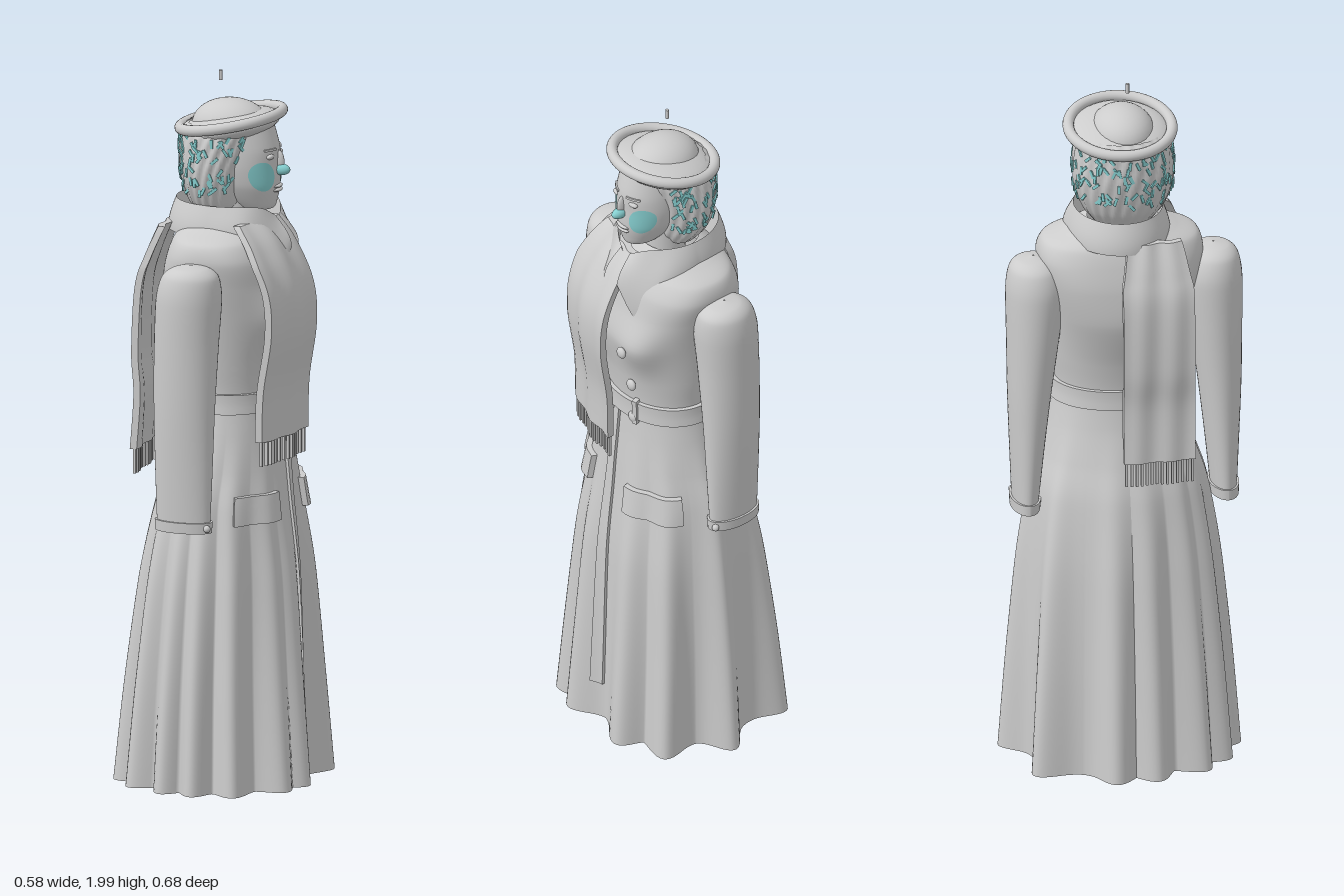
import * as THREE from 'three';
import { ParametricGeometry } from 'three/addons/geometries/ParametricGeometry.js';

const { DoubleSide } = THREE;
const cloth = new THREE.MeshStandardMaterial({ color: 0xcccccc, side: DoubleSide });
cloth.name = 'pale grey';
const tint = new THREE.MeshStandardMaterial({ color: 0x86cfd0, side: DoubleSide });
tint.name = 'soft teal';

// Surface through oval sections [y, centreX, centreZ, radiusX, radiusZ, fold], listed top to bottom
function loft(rows, shape) {
  const a = new THREE.CatmullRomCurve3(rows.map(r => new THREE.Vector3(r[0], r[1], r[2])), false, 'catmullrom', 0.4);
  const b = new THREE.CatmullRomCurve3(rows.map(r => new THREE.Vector3(r[3], r[4], r[5] || 0)), false, 'catmullrom', 0.4);
  const at = (th, v, off, out) => {
    const p = a.getPoint(v), r = b.getPoint(v);
    const k = shape ? shape(th, p.x, r.z) : 1;
    return out.set(p.y + Math.cos(th) * (r.x * k + off), p.x, p.z + Math.sin(th) * (r.y * k + off));
  };
  const atY = (th, y, off = 0, out = new THREE.Vector3()) => {
    let lo = 0, hi = 1;
    for (let i = 0; i < 22; i++) {
      const m = (lo + hi) / 2;
      if (a.getPoint(m).x > y) lo = m; else hi = m;
    }
    return at(th, lo, off, out);
  };
  const geometry = (nu, nv) => new ParametricGeometry((u, v, out) => at(Math.PI * (2 * u - 1), v, 0, out), nu, nv);
  return { atY, geometry };
}

// Move every vertex of a geometry by a rule
function warp(geo, rule) {
  const p = geo.attributes.position, q = new THREE.Vector3();
  for (let i = 0; i < p.count; i++) {
    q.fromBufferAttribute(p, i);
    rule(q);
    p.setXYZ(i, q.x, q.y, q.z);
  }
  geo.computeVertexNormals();
  return geo;
}

// Thin plate that follows a lofted surface
function plate(surface, th0, th1, y0, y1, off, nu = 12, nv = 3) {
  const { lerp } = THREE.MathUtils;
  return warp(new THREE.BoxGeometry(1, 1, 1, nu, nv, 1), q =>
    surface.atY(lerp(th1, th0, q.x + 0.5), lerp(y0, y1, q.y + 0.5), q.z > 0 ? off : -0.004, q));
}

const gauss = (x, w) => Math.exp(-((x / w) ** 2));
const wrap = a => Math.atan2(Math.sin(a), Math.cos(a));
const FOLDS = [-84, -129, -170, 170, 144, 126, 104, 86, 63, 33, 17, -20, -46].map(THREE.MathUtils.degToRad);

export function createModel() {
  const model = new THREE.Group();
  const add = (name, geo, mat = cloth, pos = [0, 0, 0], scale = [1, 1, 1], parent = model) => {
    const m = new THREE.Mesh(geo, mat);
    m.name = name;
    m.position.set(...pos);
    m.scale.set(...scale);
    parent.add(m);
    return m;
  };
  const ball = new THREE.SphereGeometry(1, 32, 20);

  // Coat: square-shouldered bodice with bust, and a full skirt falling into folds
  const coat = loft([
    [1.6, 0.015, 0, 0.08, 0.085], [1.57, 0.015, 0.003, 0.11, 0.16], [1.545, 0.018, 0.005, 0.132, 0.215],
    [1.5, 0.022, 0.005, 0.152, 0.23], [1.43, 0.022, 0.005, 0.168, 0.218], [1.33, 0.03, 0.003, 0.18, 0.2],
    [1.2, 0.035, 0, 0.15, 0.183], [1.1, 0.037, 0, 0.137, 0.172], [1.0, 0.034, 0, 0.148, 0.19, 0.03],
    [0.9, 0.026, 0, 0.17, 0.218, 0.15], [0.8, 0.016, 0, 0.195, 0.25, 0.3], [0.6, 0.01, 0, 0.234, 0.283, 0.55],
    [0.3, 0.003, 0, 0.268, 0.313, 0.8], [0.015, 0, 0, 0.295, 0.335, 1],
  ], (th, y, fold) => {
    let ridge = 0;
    for (const f of FOLDS) ridge = Math.max(ridge, gauss(wrap(th - f), 0.18));
    const bust = 0.12 * gauss(y - 1.33, 0.08) * gauss(Math.abs(th) - 0.5, 0.3);
    const square = Math.sin(2 * th) ** 2 * (0.09 * gauss(y - 1.47, 0.13) + 0.045 * fold);
    return 1 - 0.22 * Math.max(fold, 0) * (1 - ridge) + bust + square;
  });
  add('coat', coat.geometry(220, 90));
  add('belt', plate(coat, -Math.PI, Math.PI, 1.065, 1.12, 0.012, 80));
  add('beltLoop', plate(coat, -0.42, -0.34, 1.055, 1.13, 0.02, 2));
  add('frontPlacket', plate(coat, 0, 0.12, 0.13, 1.06, 0.008, 4, 30));
  add('leftPocketFlap', plate(coat, 0.42, 1.08, 0.765, 0.842, 0.016));
  add('rightPocketFlap', plate(coat, -1.02, -0.25, 0.765, 0.845, 0.016));
  for (const y of [1.32, 1.185, 1.07]) {
    const p = coat.atY(-0.33, y, 0.012);
    add('coatButton', ball, cloth, p.toArray(), [0.01, 0.017, 0.017]);
  }

  // Sleeves with rounded shoulder caps, cuff bands and buttons
  for (const s of [1, -1]) {
    const sleeve = loft([
      [1.503, 0, 0.252, 0.002, 0.002], [1.494, 0, 0.252, 0.05, 0.046],
      [1.47, -0.002, 0.25, 0.079, 0.07], [1.41, -0.007, 0.248, 0.092, 0.082],
      [1.28, -0.012, 0.255, 0.091, 0.074], [1.1, -0.014, 0.266, 0.087, 0.06],
      [0.92, -0.013, 0.273, 0.082, 0.046], [0.757, -0.012, 0.278, 0.076, 0.034],
    ].map(([y, x, z, rx, rz]) => [y, x, s * z + 0.012, rx, rz]));
    const g = new THREE.Group();
    g.name = s > 0 ? 'nearSleeve' : 'farSleeve';
    model.add(g);
    add('sleeve', sleeve.geometry(40, 40), cloth, [0, 0, 0], [1, 1, 1], g);
    add('cuff', plate(sleeve, -Math.PI, Math.PI, 0.757, 0.787, 0.006, 40), cloth, [0, 0, 0], [1, 1, 1], g);
    add('cuffButton', ball, cloth, sleeve.atY(s * 0.5, 0.772, 0.01).toArray(), [0.01, 0.01, 0.01], g);
  }

  // Turned-down collar with long points, open at the front
  const collar = (name, inner) => add(name, new ParametricGeometry((u, v, out) => {
    const th = 0.16 + u * (2 * Math.PI - 0.32), w = Math.abs(wrap(th));
    const top = 1.637 - 0.04 * gauss(w, 0.45);
    const low = inner ? 1.5 : 1.55 - 0.13 * gauss(w - 0.55, 0.33);
    const y = THREE.MathUtils.lerp(top, low, v);
    const front = 0.03 * Math.max(0, Math.cos(th));
    const flare = inner ? -0.02 * v : (0.022 + front) * Math.sin(v * 1.6);
    out.set(0.014 + Math.cos(th) * (0.146 + flare), y, Math.sin(th) * (0.122 + flare));
  }, 64, 10));
  collar('collarFall', false);
  collar('collarStand', true);

  // Scarf ends: ribbons bent along a path and curved around the body, with fringe
  const scarf = (name, path, zTop, zLow, bend) => {
    const curve = new THREE.SplineCurve(path.map(p => new THREE.Vector2(...p)));
    const place = (t, s, depth, out) => {
      const p = curve.getPoint(t), k = Math.min(1, t * 3.5);
      const z = THREE.MathUtils.lerp(zTop[0] + (zLow[0] - zTop[0]) * k, zTop[1] + (zLow[1] - zTop[1]) * k, s);
      return out.set(p.x + bend * s * s + depth + 0.004 * Math.sin(s * 14 + t * 2), p.y, z);
    };
    const g = new THREE.Group();
    g.name = name;
    model.add(g);
    add('scarfCloth', warp(new THREE.BoxGeometry(0.02, 1, 1, 1, 32, 16),
      q => place(0.5 - q.y, q.z + 0.5, q.x, q)), cloth, [0, 0, 0], [1, 1, 1], g);
    const strand = new THREE.BoxGeometry(0.008, 0.075, 0.007);
    for (let i = 0; i < 14; i++) {
      const p = place(1, (i + 0.5) / 14, 0, new THREE.Vector3());
      add('fringe', strand, cloth, [p.x, p.y - 0.032, p.z], [1, 1, 1], g);
    }
  };
  scarf('frontScarf', [[0.14, 1.595], [0.19, 1.53], [0.24, 1.42], [0.25, 1.3], [0.228, 1.14], [0.225, 1.0]],
    [-0.025, 0.155], [-0.025, 0.2], -0.05);
  scarf('backScarf', [[-0.135, 1.575], [-0.17, 1.49], [-0.195, 1.4], [-0.203, 1.22], [-0.195, 1.1], [-0.204, 0.945]],
    [0, 0.15], [-0.025, 0.175], 0.004);

  // Head: neck, face and features
  add('neck', new THREE.CylinderGeometry(0.06, 0.07, 0.2, 32), cloth, [0.03, 1.58, 0.01]);
  const face = loft([
    [1.86, 0.045, 0.01, 0.1, 0.085], [1.79, 0.055, 0.01, 0.109, 0.09], [1.74, 0.06, 0.01, 0.105, 0.089],
    [1.69, 0.07, 0.01, 0.096, 0.079], [1.65, 0.08, 0.01, 0.08, 0.06], [1.622, 0.095, 0.01, 0.056, 0.04],
    [1.612, 0.11, 0.01, 0.012, 0.012],
  ]);
  add('face', face.geometry(48, 30));
  add('nose', ball, tint, [0.172, 1.73, 0.01], [0.026, 0.016, 0.015]);
  add('noseBridge', ball, cloth, [0.163, 1.752, 0.01], [0.018, 0.033, 0.009]);
  for (const y of [1.684, 1.673]) add('lip', ball, cloth, [0.161, y, 0.01], [0.012, 0.006, 0.025]);
  for (const s of [1, -1]) {
    add('eye', ball, cloth, face.atY(s * 0.42, 1.772, -0.004).toArray(), [0.01, 0.008, 0.017]);
    add('brow', plate(face, s * 0.2, s * 0.65, 1.788, 1.794, 0.004));
    // Blush: a round patch lying on the cheek
    add('cheek', new ParametricGeometry((u, v, out) => {
      const a = u * Math.PI * 2;
      return face.atY(s * 0.75 + Math.cos(a) * v * 0.42, 1.718 + Math.sin(a) * v * 0.042, 0.002, out);
    }, 24, 6), tint);
  }

  // Hair, open around the face, with loose strands scattered over it
  const hair = loft([
    [1.855, 0.01, 0.01, 0.1, 0.11], [1.83, 0.004, 0.01, 0.116, 0.133], [1.75, -0.01, 0.01, 0.104, 0.141],
    [1.69, -0.013, 0.01, 0.092, 0.132], [1.64, -0.01, 0.01, 0.08, 0.11], [1.6, -0.005, 0.01, 0.06, 0.08],
  ], (th, y) => 1 + 0.015 * Math.sin(th * 23 + y * 40));
  add('hair', hair.geometry(120, 24));
  let seed = 7;
  const rand = () => (seed = (seed * 16807) % 2147483647) / 2147483647;
  const wisp = new THREE.BoxGeometry(0.004, 0.024, 0.008);
  for (let i = 0; i < 150; i++) {
    const th = 0.7 + rand() * (2 * Math.PI - 1.4);
    const m = add('strand', wisp, tint, hair.atY(th, 1.67 + rand() * 0.16, 0.002).toArray());
    m.rotation.set(0, -th, 0);
    m.rotateX((rand() - 0.5) * 1.8);
  }

  // Hat: rolled brim tilted up at the front, shallow base and domed crown
  const hat = new THREE.Group();
  hat.name = 'hat';
  hat.position.set(0.025, 1.862, 0.008);
  hat.rotation.z = 0.19;
  model.add(hat);
  add('brim', new THREE.TorusGeometry(0.143, 0.0155, 16, 64).rotateX(Math.PI / 2), cloth, [0, 0, 0], [1, 1, 1], hat);
  add('hatBase', ball, cloth, [-0.004, -0.016, 0], [0.138, 0.042, 0.138], hat);
  add('crown', ball, cloth, [0.026, 1.845, 0.014], [0.11, 0.076, 0.09]);

  // Small pin floating above the hat
  add('topPin', new THREE.CylinderGeometry(0.005, 0.005, 0.028, 12), cloth, [0, 1.986, 0.024]);
  return model;
}
